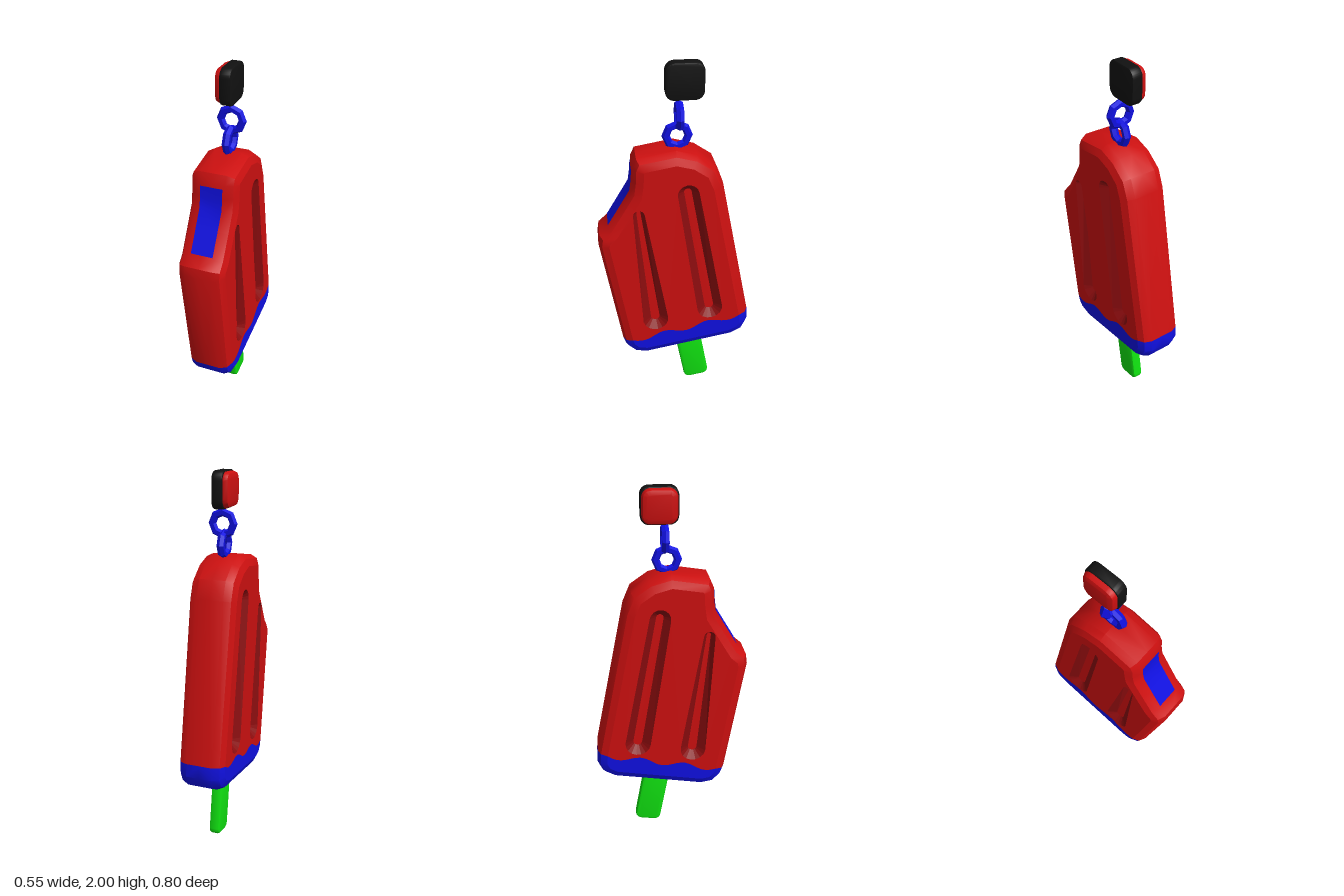
import * as THREE from 'three';
import { mergeGeometries, toCreasedNormals } from 'three/addons/utils/BufferGeometryUtils.js';

const mat = (name, color, extra = {}) => {
  const m = new THREE.MeshStandardMaterial({ color, ...extra });
  m.name = name;
  return m;
};
const V2 = (p) => new THREE.Vector2(p[0], p[1]);

// Quads between successive rows of 3D points
function loft(rows, closed = false) {
  const out = [];
  for (let r = 0; r + 1 < rows.length; r++) {
    const a = rows[r], b = rows[r + 1], n = a.length;
    for (let i = 0; i < (closed ? n : n - 1); i++) {
      const j = (i + 1) % n;
      out.push(...a[i], ...a[j], ...b[j], ...a[i], ...b[j], ...b[i]);
    }
  }
  const g = new THREE.BufferGeometry();
  g.setAttribute('position', new THREE.Float32BufferAttribute(out, 3));
  g.computeVertexNormals();
  return g;
}

// Flat face at height z, facing +z
function cap(points, z, holes = []) {
  const s = new THREE.Shape(points.map(V2));
  s.holes = holes.map((h) => new THREE.Path(h.map(V2)));
  const g = new THREE.ShapeGeometry(s).toNonIndexed();
  g.deleteAttribute('uv');
  return g.translate(0, 0, z);
}

// The geometry together with its mirror image across z = 0
function bothSides(g) {
  const m = g.clone().scale(1, 1, -1);
  const p = m.attributes.position;
  const a = new THREE.Vector3(), b = new THREE.Vector3();
  for (let i = 0; i < p.count; i += 3) {
    a.fromBufferAttribute(p, i + 1);
    b.fromBufferAttribute(p, i + 2);
    p.setXYZ(i + 1, b.x, b.y, b.z);
    p.setXYZ(i + 2, a.x, a.y, a.z);
  }
  m.computeVertexNormals();
  return mergeGeometries([g, m]);
}

// Mitred inset of a closed counter-clockwise outline
function inset(pts, d) {
  const n = pts.length;
  return pts.map((p, i) => {
    const q = V2(p);
    const t0 = q.clone().sub(V2(pts[(i + n - 1) % n])).normalize();
    const t1 = V2(pts[(i + 1) % n]).sub(q).normalize();
    const nx = -(t0.y + t1.y), ny = t0.x + t1.x;
    const k = (2 * d) / (nx * nx + ny * ny);
    return [p[0] + nx * k, p[1] + ny * k];
  });
}

// Tapering slot outline: round ends of radius r0 (bottom) and r1 (top)
function slot(x0, y0, r0, x1, y1, r1) {
  const pts = [], N = 8;
  for (let i = 0; i <= N; i++) {
    const a = Math.PI + (Math.PI * i) / N;
    pts.push([x0 + r0 * Math.cos(a), y0 + r0 * Math.sin(a)]);
  }
  for (let i = 0; i <= N; i++) {
    const a = (Math.PI * i) / N;
    pts.push([x1 + r1 * Math.cos(a), y1 + r1 * Math.sin(a)]);
  }
  return pts;
}

function roundedRect(w, h, r) {
  const s = new THREE.Shape(), x = w / 2, y = h / 2;
  s.absarc(x - r, y - r, r, 0, Math.PI / 2);
  s.absarc(-x + r, y - r, r, Math.PI / 2, Math.PI);
  s.absarc(-x + r, -y + r, r, Math.PI, Math.PI * 1.5);
  s.absarc(x - r, -y + r, r, Math.PI * 1.5, Math.PI * 2);
  return s;
}

function slab(shape, depth, bevel) {
  const g = new THREE.ExtrudeGeometry(shape, {
    depth: depth - 2 * bevel, bevelThickness: bevel, bevelSize: bevel,
    bevelOffset: -bevel, bevelSegments: 2, curveSegments: 4,
  });
  return toCreasedNormals(g.translate(0, 0, bevel - depth / 2), 0.6);
}

export function createModel() {
  const red = mat('red', 0xcc1010);
  const darkRed = mat('dark red', 0x8a0c0e);
  const blue = mat('blue', 0x1010e0, { side: THREE.DoubleSide });
  const green = mat('green', 0x10e010);
  const black = mat('black', 0x111111);

  const model = new THREE.Group();
  model.name = 'icePopCharm';
  const add = (parent, name, geometry, material) => {
    const m = new THREE.Mesh(geometry, material);
    m.name = name;
    parent.add(m);
    return m;
  };

  // Leaning ice pop: local x is its width, z its thickness
  const TURN = -1.093;
  const pop = new THREE.Group();
  pop.name = 'icePop';
  pop.position.set(0.012, 0.895, 0.023);
  pop.rotation.set(0, TURN, -0.175);
  model.add(pop);

  // Outline: right side, bite, top, left side, then the dipped bottom
  const outline = [
    [0.365, -0.43], [0.352, 0.235], [0.335, 0.285], [0.282, 0.318], [0.192, 0.422],
    [0.125, 0.5], [0.105, 0.56], [0.088, 0.63], [0.06, 0.67], [-0.14, 0.668],
    [-0.24, 0.62], [-0.32, 0.54], [-0.343, 0.44], [-0.365, -0.41],
    [-0.358, -0.48], [-0.32, -0.535], [-0.25, -0.56], [0.25, -0.56], [0.32, -0.535], [0.358, -0.48],
  ];
  const SPLIT = 13, FACE = 0.125;
  const rings = [[0, 0], [0, 0.07], [0.018, 0.107], [0.055, FACE]].map(
    ([d, z]) => inset(outline, d).map(([x, y]) => [x, y, z]));
  const upper = (r) => r.slice(0, SPLIT + 1);
  const lower = (r) => [...r.slice(SPLIT), r[0]];
  const face = rings[3];

  // Wavy edge between the two colours, from left to right
  const wave = [], A = face[SPLIT], B = face[0];
  for (let i = 1; i < 24; i++) {
    const s = i / 24;
    wave.push([A[0] + (B[0] - A[0]) * s, A[1] + (B[1] - A[1]) * s + 0.017 * Math.sin(s * Math.PI * 5 + Math.PI)]);
  }

  // Grooves: the one under the bite is shorter and narrows upward
  const grooves = [
    [-0.155, -0.31, 0.07, -0.158, 0.44, 0.055],
    [0.155, -0.31, 0.07, 0.11, 0.38, 0.03],
  ];
  const rims = grooves.map((g) => slot(...g));
  const floors = grooves.map(([a, b, r, c, d, q]) => slot(a, b, r * 0.35, c, d, q * 0.35));
  const DEEP = FACE - 0.035;

  const shell = (part) => toCreasedNormals(bothSides(loft(rings.map(part))), 0.6);
  add(pop, 'bodySides', shell(upper), red);
  add(pop, 'bodyFaces', bothSides(cap([...upper(face), ...wave], FACE, rims)), red);
  add(pop, 'dippedBottomSides', shell(lower), blue);
  add(pop, 'dippedBottomFaces', bothSides(cap([...lower(face), ...wave.slice().reverse()], FACE)), blue);
  rims.forEach((rim, i) => {
    const rows = [rim.map(([x, y]) => [x, y, FACE]), floors[i].map(([x, y]) => [x, y, DEEP])];
    add(pop, 'grooveWalls', bothSides(loft(rows, true)), darkRed);
    add(pop, 'grooveFloors', bothSides(cap(floors[i], DEEP)), red);
  });

  // Exposed filling on the bite
  const bite = inset(outline, -0.004).slice(3, 8);
  bite[0] = [bite[0][0] - 0.005, bite[0][1] + 0.006];
  bite[4] = [bite[4][0] + 0.005, bite[4][1] - 0.02];
  add(pop, 'biteFilling', toCreasedNormals(loft([-0.058, 0.058].map((z) => bite.map(([x, y]) => [x, y, z]))), 0.6), blue);

  // Stick
  const stick = add(pop, 'stick', slab(roundedRect(0.148, 0.42, 0.035), 0.06, 0.015), green);
  stick.position.y = -0.69;

  // Two chain links at right angles
  const link = (name, x, y, z, turn) => {
    const m = add(model, name, toCreasedNormals(new THREE.TorusGeometry(0.057, 0.021, 6, 8), 0.6), blue);
    m.position.set(x, y, z);
    m.rotation.y = turn;
  };
  link('upperLink', 0, 1.735, -0.02, TURN + Math.PI / 2);
  link('lowerLink', 0, 1.63, -0.01, TURN);

  // Two-tone tag: local -z is the black side
  const tag = new THREE.Group();
  tag.name = 'tag';
  tag.position.set(-0.021, 1.907, -0.04);
  tag.rotation.y = TURN;
  model.add(tag);
  add(tag, 'tagBack', slab(roundedRect(0.19, 0.186, 0.045), 0.058, 0.008), black).position.z = 0.002;
  add(tag, 'tagFront', slab(roundedRect(0.178, 0.174, 0.045), 0.06, 0.025), red).position.z = 0.031;

  return model;
}
